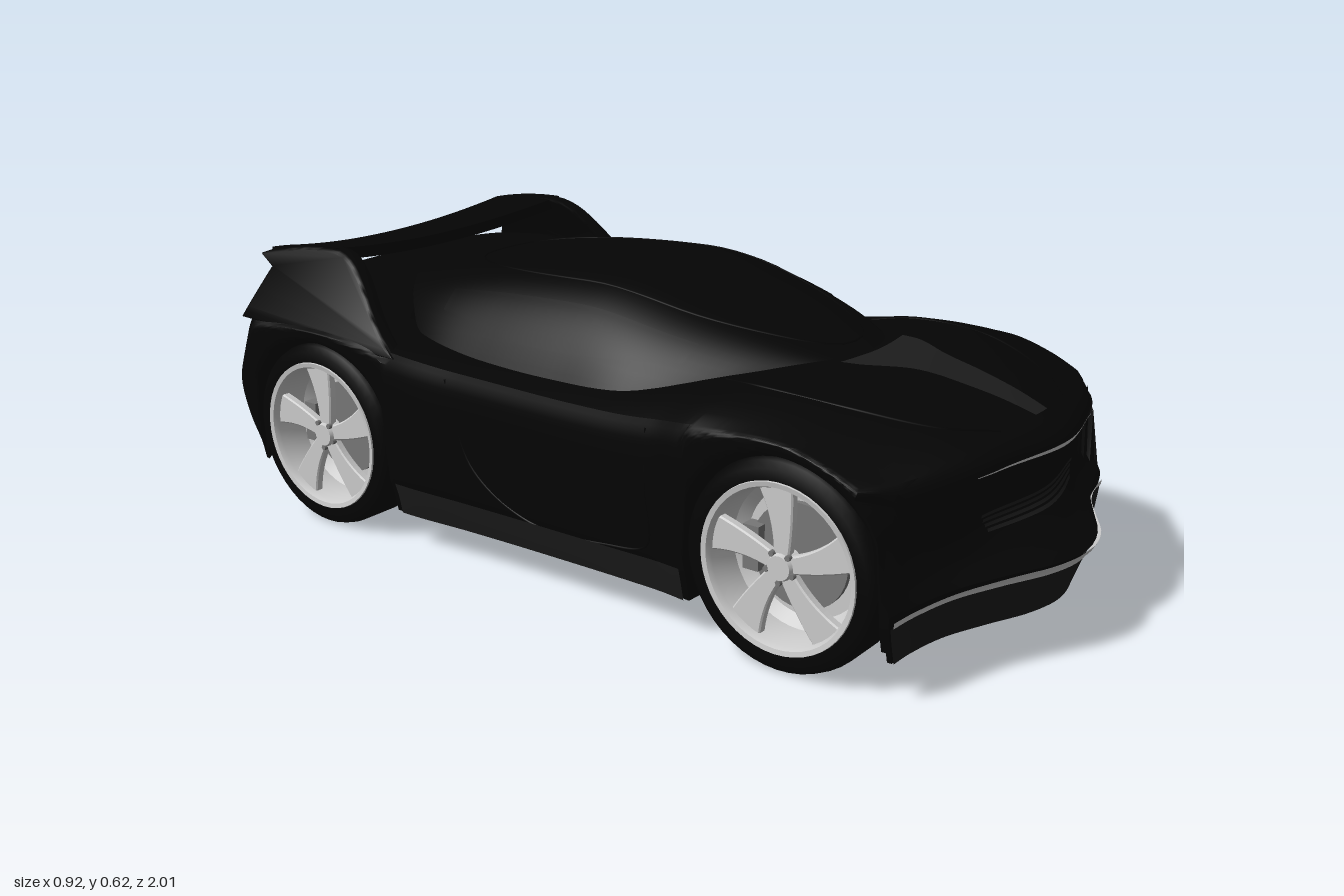
import * as THREE from 'three';
import { mergeVertices, toCreasedNormals } from 'three/addons/utils/BufferGeometryUtils.js';

const mat = (color) => new THREE.MeshStandardMaterial({ color, side: THREE.DoubleSide });
const paint = mat(0x040404), trim = mat(0x1c1c1c), glass = mat(0x030303);
const silver = mat(0xcccccc), steel = mat(0x777777), red = mat(0xe8103a);
const { lerp, clamp, smoothstep } = THREE.MathUtils;

// Smooth curve through [position, value] pairs
function curve(p) {
  const slope = (i) => {
    const a = p[Math.max(i - 1, 0)], b = p[Math.min(i + 1, p.length - 1)];
    return (b[1] - a[1]) / (b[0] - a[0]);
  };
  return (x) => {
    x = clamp(x, p[0][0], p[p.length - 1][0]);
    let i = 0;
    while (i < p.length - 2 && x > p[i + 1][0]) i++;
    const d = p[i + 1][0] - p[i][0], t = (x - p[i][0]) / d, t2 = t * t, t3 = t2 * t;
    return (2 * t3 - 3 * t2 + 1) * p[i][1] + (t3 - 2 * t2 + t) * d * slope(i)
      + (3 * t2 - 2 * t3) * p[i + 1][1] + (t3 - t2) * d * slope(i + 1);
  };
}

// Body rules: width, heights and roundness along z; plan and profile of both ends
const halfWidth = curve([[-1, .45], [-.85, .46], [-.36, .46], [-.2, .45], [0, .445], [.3, .447], [.4, .458], [.6, .46], [.82, .457], [.95, .45]]);
const deck = curve([[-1, .47], [-.87, .51], [-.75, .53], [-.6, .535], [-.5, .5], [-.4, .46], [.2, .46], [.4, .49], [.5, .505], [.65, .503], [.8, .475], [.9, .443], [.95, .42]]);
const shoulder = curve([[-.95, .44], [-.8, .45], [-.6, .455], [-.4, .445], [-.2, .43], [.2, .425], [.45, .45], [.6, .455], [.7, .43], [.82, .38], [.95, .36]]);
const roundness = curve([[-.8, 8], [-.45, 8], [-.2, 5], [.5, 4], [.85, 3]]);
const floor = curve([[-1, .11], [-.85, .105], [-.7, .08], [.8, .08], [.95, .085]]);
const lipPlan = curve([[-.1, .98], [0, 1], [.1, .98], [.2, .93], [.3, .88], [.4, .848], [.46, .835]]);
const hoodPlan = curve([[-.2, .95], [0, 1], [.2, .95], [.3, .9], [.4, .83], [.46, .77]]);
const tailPlan = curve([[-.2, -.98], [0, -1], [.2, -.98], [.38, -.945], [.46, -.875]]);
const noseProfile = curve([[0, -.05], [.27, -.015], [.33, 0], [.4, -.05], [.6, -.1], [.88, -.065], [.95, -.06], [1, -.08]]);
const tailProfile = curve([[0, .05], [.15, .055], [.55, 0], [.8, .04], [.9, .065], [.95, .09], [1, .13]]);
const sideProfile = curve([[0, .935], [.15, .967], [.3, .99], [.7, 1], [.9, .997], [1, .975]]);

const ARCH = .212, WHEEL_Y = .21, AXLES = [.6, -.62];

// Maps u (across), v (up), w (along), to the body surface
function bodyPoint(u, v, w) {
  const plan = Math.abs(u) * .46, along = (w + 1) / 2;
  const front = lerp(lipPlan(plan), hoodPlan(plan), smoothstep(v, .35, .65)) + noseProfile(v) * (1 - .9 * u * u);
  const back = tailPlan(plan) + tailProfile(v) * (1 - .35 * u * u);
  const z = lerp(back, front, along);
  const x = u * halfWidth(z) * sideProfile(v);
  const crown = deck(lerp(-.88, .92, along));
  const top = lerp(crown, shoulder(z), Math.abs(u) ** roundness(z));
  let low = floor(z);
  if (Math.abs(u) > .65) {
    for (const axle of AXLES) {
      const d = Math.abs(z - axle);
      if (d < ARCH) low = WHEEL_Y + Math.sqrt(ARCH * ARCH - d * d) * .98;
    }
  }
  return new THREE.Vector3(x, lerp(low, top, v), z);
}

// Cabin rules: s across, t from tail to windscreen base
const roofLine = curve([[-.75, .51], [-.55, .56], [-.4, .59], [-.2, .615], [0, .625], [.1, .615], [.25, .58], [.4, .542], [.52, .505], [.56, .49]]);
const cabinWidth = curve([[-.75, .24], [-.6, .31], [-.4, .37], [-.2, .385], [0, .385], [.2, .375], [.4, .31], [.56, .22]]);
function cabinPoint(s, t) {
  const zc = lerp(-.75, .56, t);
  const bend = .1 * Math.max(0, 1 - t / .4) - .14 * Math.max(0, t * 2 - 1) ** 2;
  const y = .42 + (roofLine(zc) - .42) * (1 - Math.abs(s) ** 3.8);
  return new THREE.Vector3(s * cabinWidth(zc), y, zc + bend * s * s);
}

// Moves every vertex of a geometry by a rule
function deform(geo, rule) {
  const p = geo.attributes.position;
  for (let i = 0; i < p.count; i++) {
    const q = rule(p.getX(i), p.getY(i), p.getZ(i));
    p.setXYZ(i, q.x, q.y, q.z);
  }
  geo.computeVertexNormals();
  return geo;
}
function creased(geo, angle = .6) {
  geo.deleteAttribute('uv');
  geo.deleteAttribute('normal');
  return toCreasedNormals(mergeVertices(geo, 1e-5), angle);
}

export function createModel() {
  const car = new THREE.Group();
  car.name = 'sportsCar';
  const add = (name, geo, material, parent = car) => {
    const mesh = new THREE.Mesh(geo, material);
    mesh.name = name;
    parent.add(mesh);
    return mesh;
  };
  // Panel lying on a surface; a runs -1..1, b runs 0..1
  const patch = (name, material, nx, ny, rule) =>
    add(name, deform(new THREE.PlaneGeometry(2, 1, nx, ny), (a, b) => rule(a, b + .5)), material);
  const lift = (p, x, y, z) => p.add(new THREE.Vector3(x, y, z));
  // Strip wrapped round the nose (w = 1) or tail (w = -1)
  const band = (name, material, reach, low, high, w, push = .004) =>
    patch(name, material, 48, 3, (a, b) => lift(bodyPoint(a * reach, lerp(low(Math.abs(a)), high(Math.abs(a)), b), w), 0, 0, push * w));
  const seam = (name, points) =>
    add(name, new THREE.TubeGeometry(new THREE.CatmullRomCurve3(points), 60, .0025, 5), glass);

  // Shell and cabin
  const shell = new THREE.BoxGeometry(2, 1, 2, 28, 28, 180);
  deform(shell, (u, v, w) => bodyPoint(u, v + .5, w));
  add('bodyShell', creased(shell), paint);
  patch('cabin', paint, 40, 60, (a, b) => cabinPoint(a, b));
  const squarish = (k) => Math.sign(k) * Math.abs(k) ** .7;
  seam('roofSeam', Array.from({ length: 49 }, (_, i) => {
    const g = i / 48 * Math.PI * 2;
    return cabinPoint(.54 * squarish(Math.sin(g)), .58 - .36 * squarish(Math.cos(g)));
  }));

  // Nose
  band('frontLip', trim, 1, () => 0, (a) => .25 + .01 * a, 1);
  band('chromeLip', silver, .99, (a) => .25 + .01 * a, (a) => .33 - .03 * Math.min(1, a * 1.6), 1, .007);
  band('noseChromeLine', silver, .55, (a) => .885 + .015 * a, (a) => .915 - .01 * a, 1, .007);
  for (let i = 0; i < 4; i++) {
    const v = .52 + i * .03;
    band('grilleSlat', trim, .43 - (3 - i) * .012, () => v, () => v + .018, 1, .008);
  }
  const panelWidth = curve([[.57, .27], [.62, .25], [.71, .14], [.82, .1], [.967, .055]]);
  patch('hoodPanel', trim, 8, 30, (a, b) => {
    const w = lerp(.57, .967, b);
    return lift(bodyPoint(a * panelWidth(w), 1, w), 0, .004, 0);
  });

  // Tail
  const lampLow = (a) => .93 - .07 * clamp((a - .55) / .15, 0, 1);
  band('tailLight', red, .77, lampLow, (a) => .96 + .02 * a, -1, .005);
  band('rearDiffuser', trim, .95, () => 0, (a) => .13 - .05 * a * a, -1);

  // Spoiler blade
  const blade = new THREE.BoxGeometry(2, 1, 1, 32, 1, 10);
  deform(blade, (u, v, w) => {
    const k = .5 - w, lead = -.62 - .03 * (1 - u * u), trail = -.85 + .015 * u * u;
    const top = .594 + .031 * u * u - .026 * k * k;
    const thick = lerp(.026, .008, k);
    return new THREE.Vector3(u * .375, top - (.5 - v) * thick, lerp(lead, trail, k));
  });
  add('spoilerBlade', creased(blade), paint);

  // Parts repeated on both sides
  for (const side of [1, -1]) {
    const name = side > 0 ? 'left' : 'right';

    // Spoiler support rising from the rear fender
    const outline = new THREE.Shape();
    outline.moveTo(-.38, .435);
    outline.bezierCurveTo(-.5, .5, -.52, .615, -.63, .617);
    outline.quadraticCurveTo(-.72, .615, -.845, .585);
    outline.lineTo(-.8, .565);
    outline.quadraticCurveTo(-.82, .53, -.86, .45);
    outline.closePath();
    const support = new THREE.ExtrudeGeometry(outline, {
      depth: .024, curveSegments: 14, bevelEnabled: true, bevelSize: .006, bevelThickness: .008, bevelSegments: 2
    });
    deform(support, (z, y, d) => new THREE.Vector3(side * (.448 - .41 * (y - .44) - d), y, z));
    if (side < 0) {
      // Restore the winding after mirroring
      const p = support.attributes.position;
      const a = new THREE.Vector3(), b = new THREE.Vector3();
      for (let i = 0; i < p.count; i += 3) {
        a.fromBufferAttribute(p, i + 1);
        b.fromBufferAttribute(p, i + 2);
        p.setXYZ(i + 1, b.x, b.y, b.z);
        p.setXYZ(i + 2, a.x, a.y, a.z);
      }
    }
    add(name + 'SpoilerSupport', creased(support, .7), paint);

    patch(name + 'Sill', trim, 30, 3, (a, b) => lift(bodyPoint(side, b * .2, a * .455), side * .006, 0, 0));
    patch(name + 'SideWindow', glass, 30, 8, (a, b) =>
      lift(cabinPoint(side * lerp(.7, .9 - .08 * a * a, b), .54 + a * .26), side * .003, .002, 0));
    patch(name + 'Headlight', glass, 12, 4, (a, b) =>
      lift(bodyPoint(side * (.72 + a * .16), lerp(.8, .93, b), 1), 0, 0, .004));
    seam(name + 'DoorSeam', [[.95, .4], [.6, .42], [.28, .36], [.2, .22], [.2, -.02], [.45, -.16], [.95, -.26]]
      .map(([v, w]) => bodyPoint(side, v, w)));
    seam(name + 'HoodSeam', [[.3, .97], [.5, .9], [.66, .75], [.68, .55], [.62, .42]]
      .map(([u, w]) => bodyPoint(side * u, 1, w)));
    const tip = add(name + 'Exhaust', new THREE.BoxGeometry(.065, .026, .08), silver);
    tip.position.set(side * .2, .1, -.905);
  }

  // Wheels
  const lathe = (pts) => new THREE.LatheGeometry(pts.map(([r, y]) => new THREE.Vector2(r, y)), 48).rotateZ(-Math.PI / 2);
  const tyre = creased(lathe([[.165, -.07], [.192, -.072], [.205, -.062], [.21, -.045], [.21, .045], [.205, .062], [.192, .072], [.165, .07]]), .8);
  const rim = creased(lathe([[.03, -.03], [.13, -.03], [.15, -.01], [.153, .06], [.158, .072], [.168, .074], [.17, .066]]), .6);
  const disc = new THREE.CylinderGeometry(.105, .105, .012, 36).rotateZ(Math.PI / 2);
  const hub = new THREE.CylinderGeometry(.024, .036, .03, 20).rotateZ(-Math.PI / 2);
  const lug = new THREE.CylinderGeometry(.006, .006, .01, 6).rotateZ(-Math.PI / 2);
  const blank = new THREE.Shape();
  blank.moveTo(-.014, .025);
  blank.quadraticCurveTo(-.016, .09, -.05, .148);
  blank.quadraticCurveTo(-.02, .16, .018, .156);
  blank.quadraticCurveTo(.022, .09, .014, .025);
  const spoke = new THREE.ExtrudeGeometry(blank, { depth: .014, bevelSize: .003, bevelThickness: .003, bevelSegments: 1 });
  spoke.rotateY(Math.PI / 2);

  for (const side of [1, -1]) for (const axle of AXLES) {
    const wheel = new THREE.Group();
    wheel.name = (axle > 0 ? 'front' : 'rear') + (side > 0 ? 'Left' : 'Right') + 'Wheel';
    wheel.position.set(side * .383, WHEEL_Y, axle);
    if (side < 0) wheel.rotation.y = Math.PI;
    add('tyre', tyre, paint, wheel);
    add('rim', rim, silver, wheel);
    add('brakeDisc', disc, steel, wheel).position.x = -.012;
    add('brakeCaliper', new THREE.BoxGeometry(.03, .09, .035), steel, wheel).position.set(0, 0, side * -.095);
    add('hub', hub, silver, wheel).position.x = .05;
    for (let i = 0; i < 5; i++) {
      const g = i * Math.PI * 2 / 5;
      const s = add('spoke', spoke, silver, wheel);
      s.position.x = .04;
      s.rotation.x = g;
      add('wheelNut', lug, steel, wheel).position.set(.06, Math.cos(g + .6) * .03, Math.sin(g + .6) * .03);
    }
    car.add(wheel);
  }
  return car;
}
